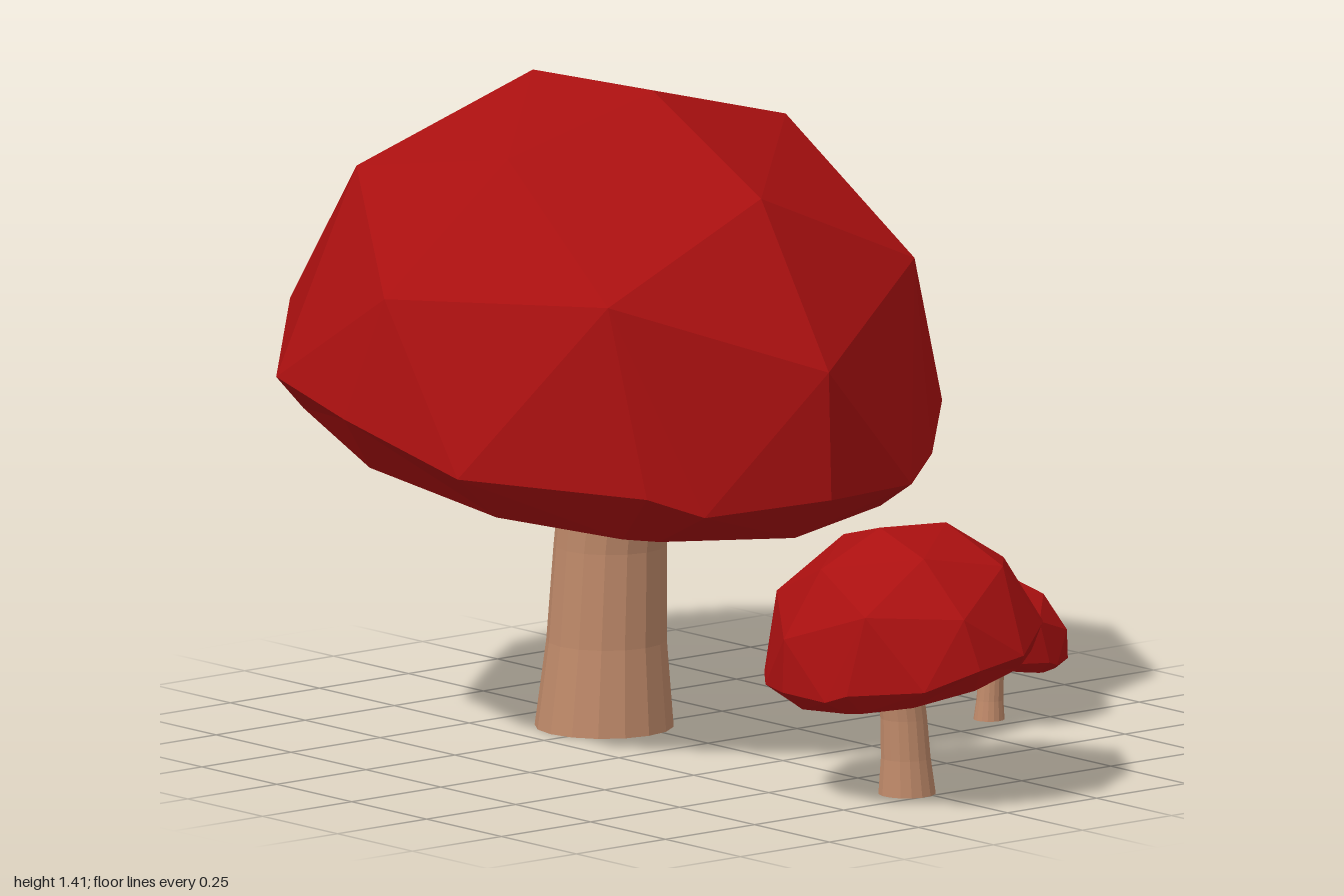
import * as THREE from 'three';

const capMaterial = new THREE.MeshStandardMaterial({ color: 0xaa1010, flatShading: true });
const stemMaterial = new THREE.MeshStandardMaterial({ color: 0xc08a6a, flatShading: true });

// Faceted dome: one quarter is described, then mirrored across x and z.
function capGeometry() {
  const dome = {
    P: [0, 0.66, 0],
    A: [0.39, 0.56, 0], B: [0, 0.555, 0.39],
    C: [0.685, 0.27, 0], M: [0.43, 0.38, 0.43], D: [0, 0.27, 0.685],
  };
  const rim = [[0.753, 0, 0], [0.68, -0.03, 0.29], [0.61, 0, 0.4], [0.31, -0.03, 0.68], [0, 0, 0.75]];
  const lip = [[0.655, 0], [0.57, 0.31], [0.53, 0.38], [0.33, 0.57], [0, 0.655]].map(([x, z]) => [x, -0.125, z]);
  // Rings of the shallow hollow underside, from the lip up to the middle
  const ring = (scale, y) => lip.map(([x, , z]) => [x * scale, y, z * scale]);
  const rings = [rim, lip, ring(0.85, -0.07), ring(0.4, 0), ring(0, 0.02)];

  const { P, A, B, C, M, D } = dome;
  const tris = [
    [P, B, A], [A, M, C], [A, B, M], [B, D, M],
    [C, rim[1], rim[0]], [C, M, rim[1]], [M, rim[2], rim[1]],
    [M, rim[3], rim[2]], [M, D, rim[3]], [D, rim[4], rim[3]],
  ];
  for (let r = 0; r < rings.length - 1; r++) {
    const up = rings[r], low = rings[r + 1];
    for (let i = 0; i < 4; i++) {
      tris.push([up[i], up[i + 1], low[i]]);
      if (r < rings.length - 2) tris.push([up[i + 1], low[i + 1], low[i]]);
    }
  }

  const positions = [];
  for (const sx of [1, -1]) for (const sz of [1, -1]) {
    for (const [a, b, c] of tris) {
      const corners = sx * sz > 0 ? [a, b, c] : [a, c, b];
      for (const [x, y, z] of corners) positions.push(x * sx, y, z * sz);
    }
  }
  const geometry = new THREE.BufferGeometry();
  geometry.setAttribute('position', new THREE.Float32BufferAttribute(positions, 3));
  geometry.computeVertexNormals();
  return geometry;
}

// Curved stem: each cylinder ring is moved to its own offset, height and radius.
function stemGeometry() {
  const levels = [ // x offset, height, radius
    [0, 0, 0.15], [0.008, 0.19, 0.13], [0.02, 0.4, 0.122], [0.052, 0.63, 0.121], [0.075, 0.8, 0.12],
  ];
  const steps = levels.length - 1;
  const geometry = new THREE.CylinderGeometry(1, 1, 1, 16, steps);
  const p = geometry.attributes.position;
  for (let i = 0; i < p.count; i++) {
    const [x, y, r] = levels[Math.round((p.getY(i) + 0.5) * steps)];
    p.setXYZ(i, p.getX(i) * r + x, y, p.getZ(i) * r);
  }
  geometry.computeVertexNormals();
  return geometry;
}

export function createModel() {
  const model = new THREE.Group();
  model.name = 'mushrooms';
  const capShape = capGeometry();
  const stemShape = stemGeometry();

  function addMushroom(name, x, z, scale, turn) {
    const mushroom = new THREE.Group();
    mushroom.name = name;
    const stem = new THREE.Mesh(stemShape, stemMaterial);
    stem.name = 'stem';
    // Cap tilts the way the stem leans
    const cap = new THREE.Mesh(capShape, capMaterial);
    cap.name = 'cap';
    cap.position.set(0.023, 0.77, 0);
    cap.rotation.z = -0.216;
    mushroom.add(stem, cap);
    mushroom.position.set(x, 0, z);
    mushroom.rotation.y = turn;
    mushroom.scale.setScalar(scale);
    model.add(mushroom);
  }

  addMushroom('largeMushroom', -0.293, 0.045, 1, 0);
  addMushroom('mediumMushroom', 0.694, 0.025, 0.416, -Math.PI / 2 - 0.14);
  addMushroom('smallMushroom', 0.184, -0.634, 0.224, Math.PI / 4);
  return model;
}
